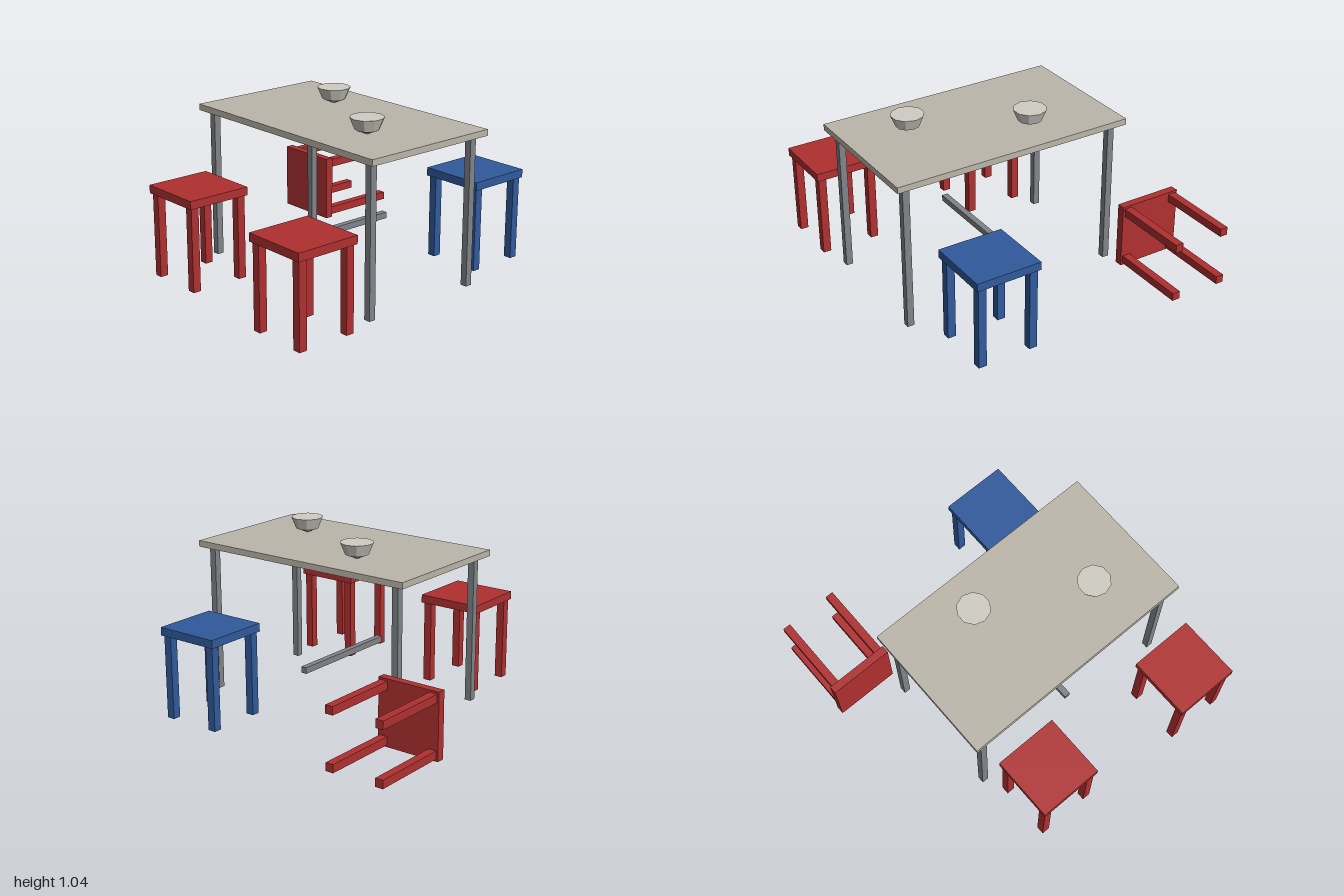
import * as THREE from 'three';

const mat = (color) => new THREE.MeshStandardMaterial({ color, flatShading: true });
const red = mat(0xb03030);
const blue = mat(0x305a9c);
const stone = mat(0xbcb6aa);
const metal = mat(0x808488);
const china = mat(0xd0cdc4);
china.side = THREE.DoubleSide;

function box(parent, name, material, size, pos) {
  const mesh = new THREE.Mesh(new THREE.BoxGeometry(...size), material);
  mesh.name = name;
  mesh.position.set(...pos);
  parent.add(mesh);
}

// Square stool standing on its legs, origin on the floor
function stool(name, material, legLength = 0.51) {
  const g = new THREE.Group();
  g.name = name;
  box(g, 'seat', material, [0.404, 0.05, 0.404], [0, legLength + 0.025, 0]);
  for (const x of [-0.164, 0.164])
    for (const z of [-0.164, 0.164])
      box(g, 'stoolLeg', material, [0.05, legLength, 0.05], [x, legLength / 2, z]);
  return g;
}

// Faceted half-sphere with a flat filled top
function bowl(x, z) {
  const g = new THREE.Group();
  g.name = 'bowl';
  const shell = new THREE.Mesh(
    new THREE.SphereGeometry(0.1, 10, 2, 0, Math.PI * 2, Math.PI / 2, Math.PI / 2), china);
  shell.name = 'bowlShell';
  const top = new THREE.Mesh(new THREE.CircleGeometry(0.1, 10).rotateX(-Math.PI / 2), china);
  top.name = 'bowlTop';
  g.add(shell, top);
  g.position.set(x, 1.041, z);
  return g;
}

export function createModel() {
  const model = new THREE.Group();
  model.name = 'tableWithStools';

  // Table: top, four legs and a low crossbar
  const table = new THREE.Group();
  table.name = 'table';
  box(table, 'tableTop', stone, [0.885, 0.038, 1.518], [-0.04, 0.925, 0.156]);
  for (const x of [-0.423, 0.341])
    for (const z of [0.843, -0.525])
      box(table, 'tableLeg', metal, [0.042, 0.906, 0.042], [x, 0.453, z]);
  box(table, 'crossbar', metal, [0.75, 0.038, 0.038], [-0.04, 0.255, 0.158]);
  model.add(table);

  // Bowls on the table
  model.add(bowl(-0.167, 0.534), bowl(0.148, -0.097));

  // Upright stools
  for (const [name, material, x, z] of [
    ['frontRedStool', red, -0.798, 0.728],
    ['backRedStool', red, -0.735, -0.285],
    ['blueStool', blue, 0.72, 0.538],
  ]) {
    const s = stool(name, material);
    s.position.set(x, 0, z);
    model.add(s);
  }

  // Stool tipped on its side, legs pointing to +x
  const fallen = stool('fallenStool', red, 0.483);
  fallen.rotation.z = Math.PI / 2;
  fallen.position.set(0.998, 0.218, -0.729);
  model.add(fallen);

  return model;
}
